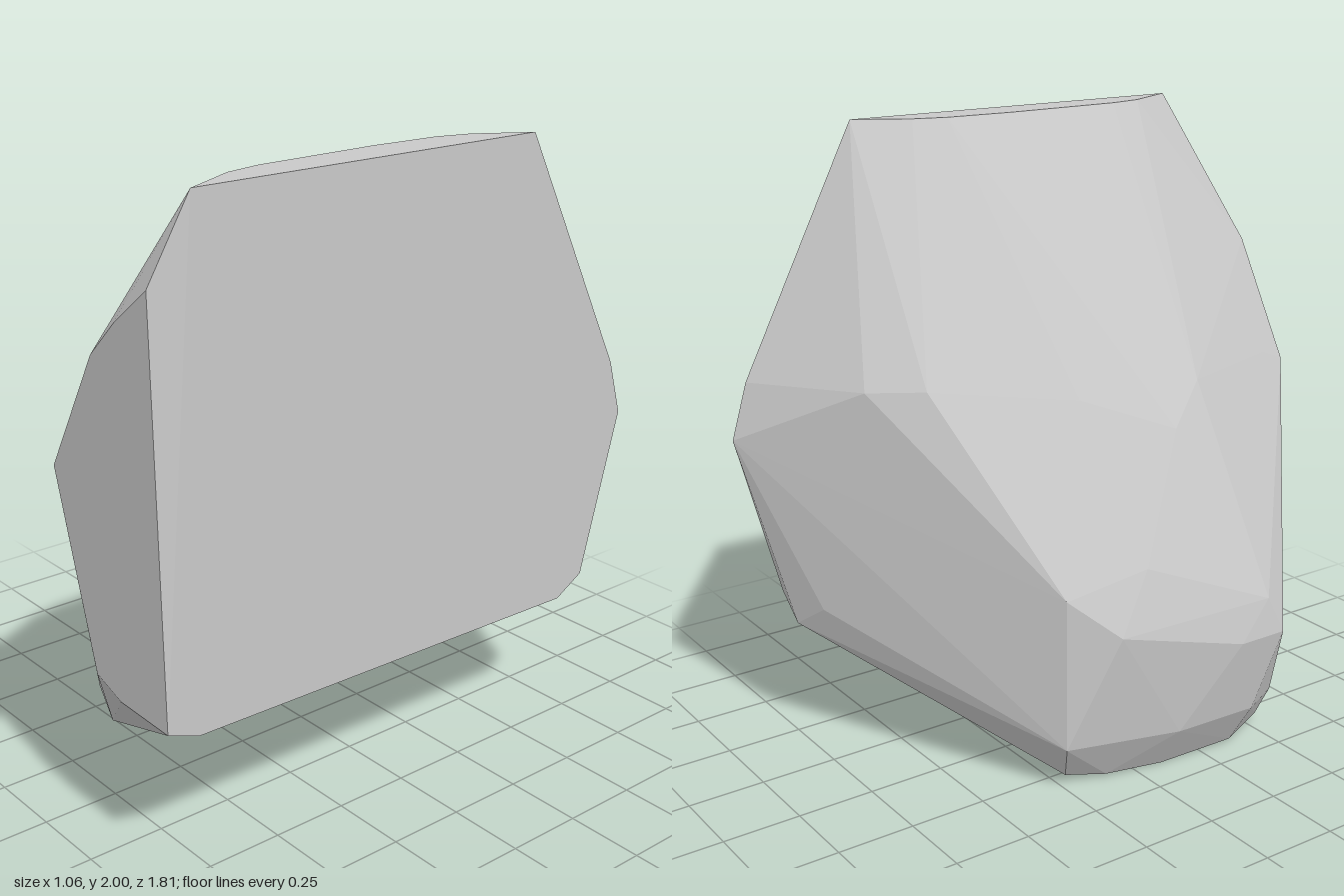
import * as THREE from 'three';
import { ConvexGeometry } from 'three/addons/geometries/ConvexGeometry.js';

export function createModel() {
  const stone = new THREE.MeshStandardMaterial({ color: 0xc8c8c8 });
  stone.name = 'pale grey stone';

  // Corners of the flat top, [x, z] at y = 2
  const top = [[0.52, 0.78], [0.42, 0.59], [0.395, 0.47], [0.38, 0.05],
    [0.39, -0.18], [0.42, -0.29], [0.52, -0.455]].map(([x, z]) => [x, 2, z]);

  // Corners of the flat front, [x, y] at z = 0.905
  const front = [[0, 1.14], [0.22, 1.52], [0.34, 1.635], [0.495, 1.755],
    [0.53, 0.505], [0.3, 0.51], [0.18, 0.55]].map(([x, y]) => [x, y, 0.905]);

  // Remaining corners of the big split face, [y, z]
  const split = [[1.22, -0.85], [1.04, -0.905], [0.5, -0.765],
    [0.44, -0.66], [0.465, 0.8]].map(([y, z]) => [0.53, y, z]);

  // Chipped corners of the back
  const back = [[0.43, 0.42, -0.765], [0.31, 0.5, -0.73], [0.15, 1.24, -0.64],
    [0.02, 1.25, -0.5], [-0.39, 0.66, -0.28], [-0.39, 0.165, -0.28]];

  // Sloping shoulder and blunt nose
  const shoulder = [[-0.15, 1.19, -0.06], [-0.25, 1.07, 0.24], [-0.18, 1.19, 0.38],
    [-0.02, 1.18, 0.8], [-0.42, 0.71, 0], [-0.47, 0.53, -0.13], [-0.51, 0.54, 0.42],
    [-0.53, 0.42, 0.3], [-0.53, 0.42, 0.47], [-0.48, 0.15, 0.39], [-0.47, 0.15, 0.1],
    [-0.395, 0.14, 0.545]];

  // Small base the stone rests on
  const base = [[-0.34, 0.03, 0.535], [-0.4, 0.01, 0.37], [-0.38, 0, 0.1],
    [-0.35, 0.01, -0.1], [-0.31, 0.03, -0.23], [-0.24, 0, 0.3], [-0.23, 0, 0],
    [-0.15, 0.04, 0.38], [-0.15, 0.035, -0.08]];

  const corners = [top, front, split, back, shoulder, base].flat()
    .map((p) => new THREE.Vector3(...p));
  const rock = new THREE.Mesh(new ConvexGeometry(corners), stone);
  rock.name = 'rock';

  const group = new THREE.Group();
  group.name = 'chippedRock';
  group.add(rock);
  return group;
}
